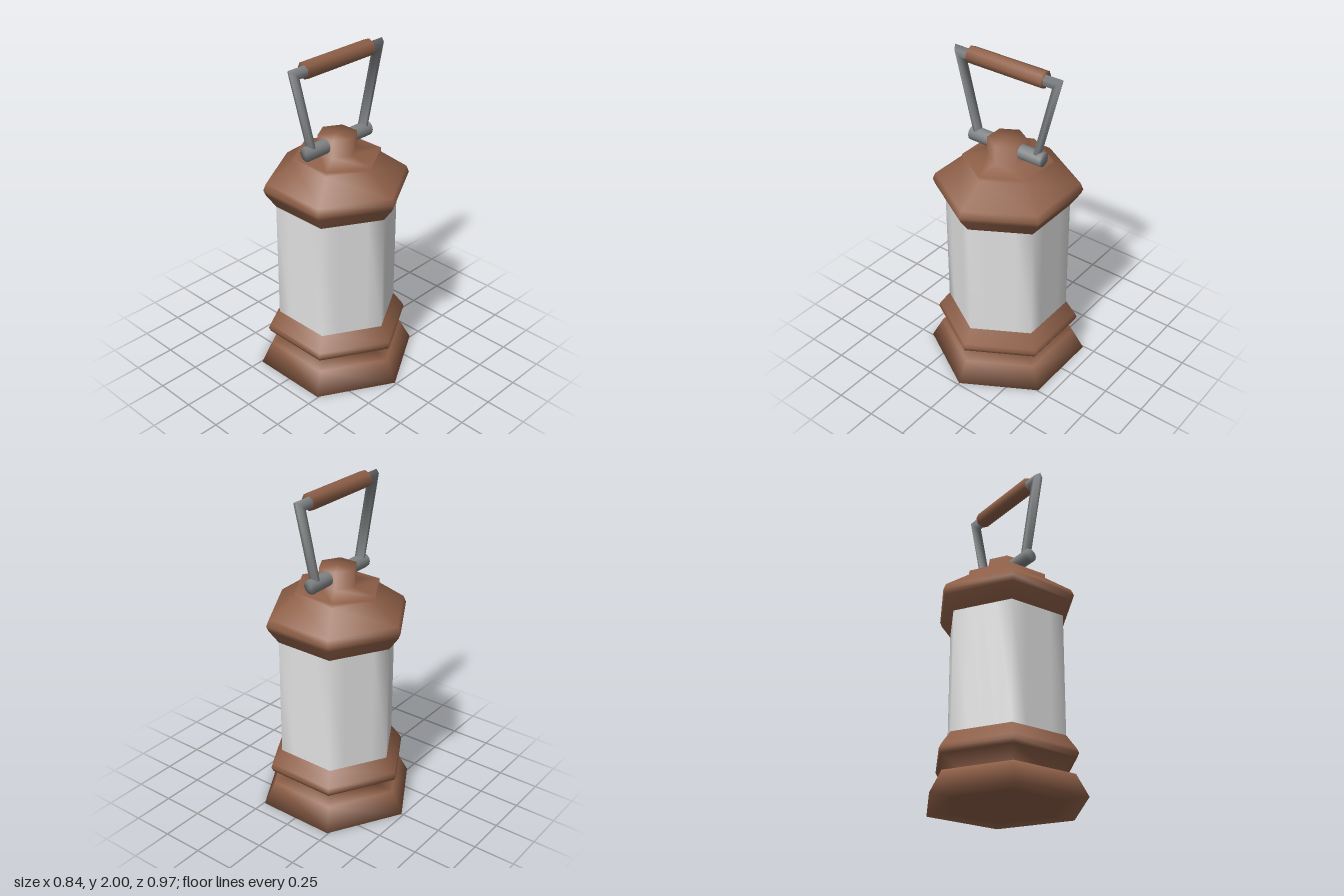
import * as THREE from 'three';
import { mergeVertices } from 'three/addons/utils/BufferGeometryUtils.js';

const copper = new THREE.MeshStandardMaterial({ color: 0x8f6048 });
copper.name = 'copper brown';
const steel = new THREE.MeshStandardMaterial({ color: 0x808385 });
steel.name = 'steel grey';
const frosted = new THREE.MeshStandardMaterial({ color: 0xe0e0e0 });
frosted.name = 'frosted white';

function addMesh(parent, name, geometry, material) {
  const mesh = new THREE.Mesh(geometry, material);
  mesh.name = name;
  parent.add(mesh);
  return mesh;
}

// Weld corners so the shading runs over every edge
function smooth(geometry) {
  geometry.deleteAttribute('uv');
  geometry.deleteAttribute('normal');
  const welded = mergeVertices(geometry, 1e-4);
  welded.computeVertexNormals();
  return welded;
}

// Six-sided turned part; a repeated profile point makes a crease
function hexLathe(profile) {
  return new THREE.LatheGeometry(profile.map(([r, y]) => new THREE.Vector2(r, y)), 6);
}

// Hexagonal tube wall with softly shaded corners
function softHexWall(radius, y0, y1) {
  const geo = new THREE.LatheGeometry([new THREE.Vector2(radius, y0), new THREE.Vector2(radius, y1)], 24);
  const pos = geo.attributes.position;
  const sector = Math.PI / 3;
  for (let i = 0; i < pos.count; i++) {
    const a = Math.atan2(pos.getX(i), pos.getZ(i)) + Math.PI * 2;
    const k = Math.cos(sector / 2) / Math.cos((a % sector) - sector / 2);
    pos.setXYZ(i, pos.getX(i) * k, pos.getY(i), pos.getZ(i) * k);
  }
  return smooth(geo);
}

// Mitred six-sided bar: each section is [x, y, outward x, outward y]
function mitredBar(sections, depth) {
  const sides = 6, verts = [], index = [];
  sections.forEach(([x, y, mx, my]) => {
    for (let i = 0; i < sides; i++) {
      const a = (i / sides) * Math.PI * 2;
      verts.push(x + mx * Math.cos(a), y + my * Math.cos(a), depth * Math.sin(a));
    }
  });
  for (let s = 0; s < sections.length - 1; s++) {
    for (let i = 0; i < sides; i++) {
      const a = s * sides + i, b = s * sides + (i + 1) % sides;
      index.push(a, b, a + sides, b, b + sides, a + sides);
    }
  }
  const geo = new THREE.BufferGeometry();
  geo.setAttribute('position', new THREE.Float32BufferAttribute(verts, 3));
  geo.setIndex(index);
  geo.computeVertexNormals();
  return geo;
}

// Closed round bar lying along x
function crossRod(parent, name, radius, y, sides, material) {
  const rod = addMesh(parent, name, smooth(new THREE.CylinderGeometry(radius, radius, 0.5, sides)), material);
  rod.rotation.z = Math.PI / 2;
  rod.position.y = y;
}

export function createModel() {
  const lantern = new THREE.Group();
  lantern.name = 'lantern';

  // Foot flowing into the lower collar
  addMesh(lantern, 'base', hexLathe([
    [0, 0], [0.34, 0], [0.487, 0], [0.415, 0.135], [0.275, 0.145],
    [0.425, 0.225], [0.437, 0.25], [0.425, 0.275], [0.365, 0.36], [0.365, 0.36], [0, 0.36],
  ]), copper);

  // Glass
  addMesh(lantern, 'glass', softHexWall(0.365, 0.355, 1.095), frosted);

  // Roof rising through the cap to the knob
  addMesh(lantern, 'roof', hexLathe([
    [0, 1.09], [0.365, 1.09], [0.365, 1.09], [0.425, 1.175], [0.437, 1.205], [0.42, 1.245],
    [0.26, 1.36], [0.26, 1.385], [0.115, 1.405], [0.115, 1.51], [0, 1.51],
  ]), copper);

  // Axle through the knob
  crossRod(lantern, 'axle', 0.043, 1.46, 12, steel);

  // Swing handle: two arms and a crossbar with mitred corners, and a grip
  const handle = new THREE.Group();
  handle.name = 'handle';
  lantern.add(handle);
  const corner = (s) => [s * 0.3275, 1.945, s * 0.033, 0.035];
  const foot = (s) => [s * 0.205, 1.47, s * 0.0225, 0.005];
  addMesh(handle, 'bail', mitredBar([foot(-1), corner(-1), corner(1), foot(1)], 0.033), steel);
  crossRod(handle, 'grip', 0.05, 1.95, 8, copper);

  return lantern;
}
